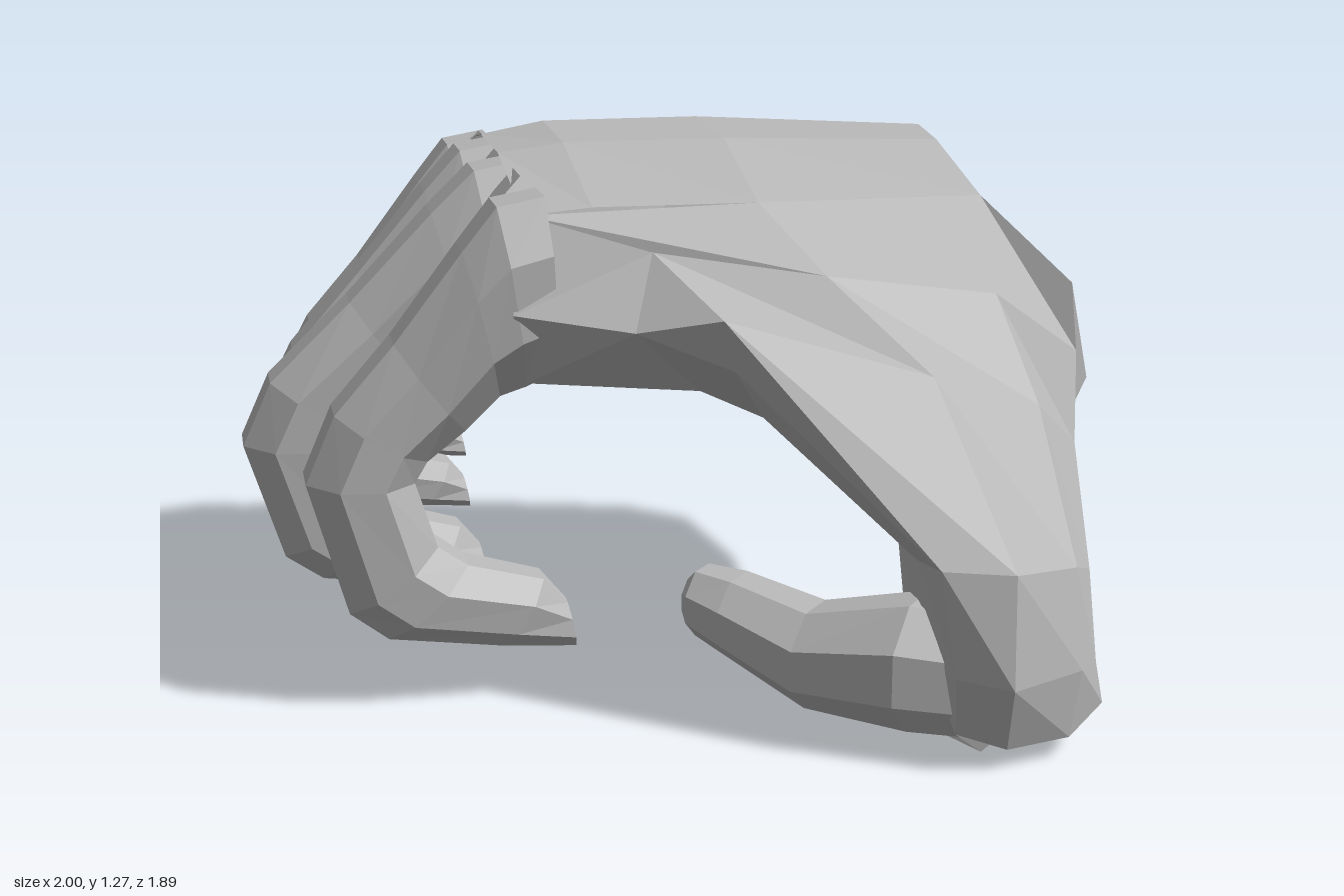
import * as THREE from 'three';

const skin = new THREE.MeshStandardMaterial({ color: 0xb8b8b8, side: THREE.DoubleSide, flatShading: true });
skin.name = 'plain grey';

// Skins equal-length rows of [x, y, z] points; rows may be open strips, and the last one can be capped.
function loft(name, rows, { closed = true, cap = true } = {}) {
  const tris = [];
  const n = rows[0].length;
  const v = rows.map((r) => r.map((p) => new THREE.Vector3(...p)));
  const middle = (r) => r.reduce((s, p) => s.add(p), new THREE.Vector3()).divideScalar(r.length);
  for (let i = 0; i < v.length - 1; i++) {
    for (let j = 0; j < (closed ? n : n - 1); j++) {
      const k = (j + 1) % n;
      tris.push([v[i][j], v[i][k], v[i + 1][k]], [v[i][j], v[i + 1][k], v[i + 1][j]]);
    }
  }
  const last = v[v.length - 1];
  const tip = middle(last);
  if (cap) last.forEach((p, j) => tris.push([p, last[(j + 1) % n], tip]));
  // Turn all faces outward using the signed volume about the centre
  const c = middle(v.map(middle));
  let volume = 0;
  for (const [a, b, d] of tris) {
    volume += a.clone().sub(c).dot(b.clone().sub(c).cross(d.clone().sub(c)));
  }
  const points = tris.flatMap(([a, b, d]) => (volume < 0 ? [a, d, b] : [a, b, d]));
  const g = new THREE.BufferGeometry().setFromPoints(points);
  g.computeVertexNormals();
  const mesh = new THREE.Mesh(g, skin);
  mesh.name = name;
  return mesh;
}

// Palm sections from the open wrist to the knuckles, open where the thumb base joins
function makePalm() {
  const section = (x, zy) => zy.map(([z, y]) => [x, y, z]);
  return loft('palm', [
    [[0.8, 1.13, 0.02], [0.75, 1.24, -0.18], [0.79, 1.24, -0.45], [0.82, 1.12, -0.67], [0.82, 0.98, -0.71],
      [0.86, 0.82, -0.64], [0.87, 0.76, -0.3], [0.83, 0.74, 0], [1, 0.72, 0.26]],
    section(0.2, [[0.18, 1.16], [-0.18, 1.26], [-0.5, 1.27], [-0.82, 1.18], [-0.9, 1],
      [-0.8, 0.81], [-0.3, 0.76], [0, 0.73], [0.25, 0.72]]),
    section(-0.2, [[0.22, 1.17], [-0.18, 1.26], [-0.5, 1.27], [-0.83, 1.21], [-0.95, 1.02],
      [-0.87, 0.83], [-0.4, 0.77], [0, 0.75], [0.24, 0.76]]),
    section(-0.36, [[0.24, 1.16], [-0.18, 1.24], [-0.5, 1.24], [-0.82, 1.18], [-0.93, 1],
      [-0.87, 0.84], [-0.45, 0.78], [0, 0.76], [0.24, 0.77]]),
  ], { closed: false, cap: false });
}

// Finger stations: back x, y, inner x, y, half width; the wide base meets its neighbours
const STATIONS = [
  [-0.31, 1.2, -0.29, 0.79, 0.155],
  [-0.42, 1.18, -0.36, 0.76, 0.163],
  [-0.5, 1.08, -0.42, 0.74, 0.155],
  [-0.66, 0.87, -0.5, 0.66, 0.137],
  [-0.8, 0.71, -0.59, 0.59, 0.135],
  [-0.87, 0.55, -0.62, 0.54, 0.135],
  [-0.78, 0.23, -0.57, 0.38, 0.125],
  [-0.69, 0.16, -0.5, 0.33, 0.12],
  [-0.42, 0.12, -0.32, 0.28, 0.1],
  [-0.24, 0.1, -0.26, 0.21, 0.055],
];

// One curled finger; curl shortens the part below the middle joint
function makeFinger({ name, z, reach, curl, lift, width }) {
  const rings = STATIONS.map(([ox, oy, ix, iy, w], i) => {
    const place = (x, y) => [
      (i > 5 && x > -0.6 ? -0.6 + (x + 0.6) * curl : x) + reach * Math.min(1, i / 4) ** 2,
      (y < 0.62 ? 0.62 + (y - 0.62) * curl : y) + (i < 4 ? lift : 0),
    ];
    const [bx, by] = place(ox, oy), [px, py] = place(ix, iy);
    return Array.from({ length: 8 }, (_, j) => {
      const a = ((j + 0.5) / 8) * Math.PI * 2;
      const t = 0.5 + 0.541 * Math.cos(a);
      return [px + (bx - px) * t, py + (by - py) * t, z + w * width * 1.08 * Math.sin(a)];
    });
  });
  return loft(name, rings);
}

// Skin fold bridging two neighbouring fingers
function makeWeb(z) {
  const path = [[-0.34, 1.22], [-0.43, 1.12], [-0.5, 1.02], [-0.43, 0.85], [-0.34, 0.76]];
  const rows = path.map(([x, y]) => [[x, y, z - 0.06], [x, y, z + 0.06]]);
  return loft('fingerWeb', rows, { closed: false, cap: false });
}

// Broad wedge from the palm edge down to the thumb joint
function makeThumbBase() {
  return loft('thumbBase', [
    [[-0.36, 1.16, 0.24], [0.2, 1.16, 0.18], [0.8, 1.13, 0.02], [0.96, 0.95, 0.24],
      [1, 0.72, 0.26], [0.2, 0.72, 0.25], [-0.36, 0.77, 0.24], [-0.4, 0.95, 0.33]],
    [[-0.08, 1.08, 0.32], [0.3, 1.03, 0.42], [0.74, 0.95, 0.32], [0.95, 0.8, 0.31],
      [0.92, 0.58, 0.29], [0.36, 0.64, 0.18], [0.05, 0.73, 0.24], [-0.14, 0.92, 0.43]],
    [[0.04, 0.96, 0.52], [0.5, 0.83, 0.6], [0.78, 0.73, 0.52], [0.92, 0.6, 0.4],
      [0.86, 0.49, 0.3], [0.5, 0.57, 0.15], [0.2, 0.66, 0.25], [0.08, 0.83, 0.47]],
    [[0.44, 0.47, 0.87], [0.6, 0.46, 0.9], [0.78, 0.43, 0.79], [0.86, 0.38, 0.67],
      [0.83, 0.3, 0.5], [0.62, 0.35, 0.4], [0.46, 0.42, 0.5], [0.44, 0.44, 0.7]],
    [[0.48, 0.22, 0.87], [0.59, 0.21, 0.94], [0.78, 0.21, 0.85], [0.84, 0.2, 0.78],
      [0.84, 0.17, 0.66], [0.64, 0.17, 0.52], [0.46, 0.22, 0.58], [0.46, 0.22, 0.72]],
    [[0.5, 0.07, 0.82], [0.6, 0.05, 0.88], [0.76, 0.05, 0.84], [0.86, 0.1, 0.78],
      [0.8, 0.05, 0.7], [0.6, 0.02, 0.64], [0.48, 0.03, 0.66], [0.58, 0, 0.77]],
  ]);
}

// Thumb pointing back under the palm: x, y, z, half height, half width
function makeThumb() {
  const rings = [
    [0.64, 0.17, 0.74, 0.14, 0.13],
    [0.46, 0.19, 0.67, 0.15, 0.15],
    [0.26, 0.165, 0.52, 0.115, 0.13],
    [0.12, 0.21, 0.35, 0.095, 0.11],
    [0.05, 0.225, 0.27, 0.08, 0.085],
    [0.03, 0.225, 0.245, 0.05, 0.05],
  ].map(([x, y, z, h, w]) => Array.from({ length: 8 }, (_, j) => {
    const a = ((j + 0.5) / 8) * Math.PI * 2;
    const s = w * Math.cos(a) * 1.08;
    return [x + s * 0.65, y + h * 1.08 * Math.sin(a), z - s * 0.76];
  }));
  return loft('thumb', rings);
}

export function createModel() {
  const hand = new THREE.Group();
  hand.name = 'hand';
  hand.add(makePalm(), makeThumbBase(), makeThumb());
  const fingers = [
    { name: 'indexFinger', z: 0.165, reach: 0, curl: 1, lift: 0, width: 1 },
    { name: 'middleFinger', z: -0.17, reach: -0.13, curl: 0.9, lift: 0.03, width: 1 },
    { name: 'ringFinger', z: -0.49, reach: -0.06, curl: 0.69, lift: 0.03, width: 1 },
    { name: 'littleFinger', z: -0.8, reach: 0, curl: 0.6, lift: 0, width: 0.93 },
  ];
  for (const f of fingers) hand.add(makeFinger(f));
  for (const z of [-0.005, -0.33, -0.645]) hand.add(makeWeb(z));
  return hand;
}
